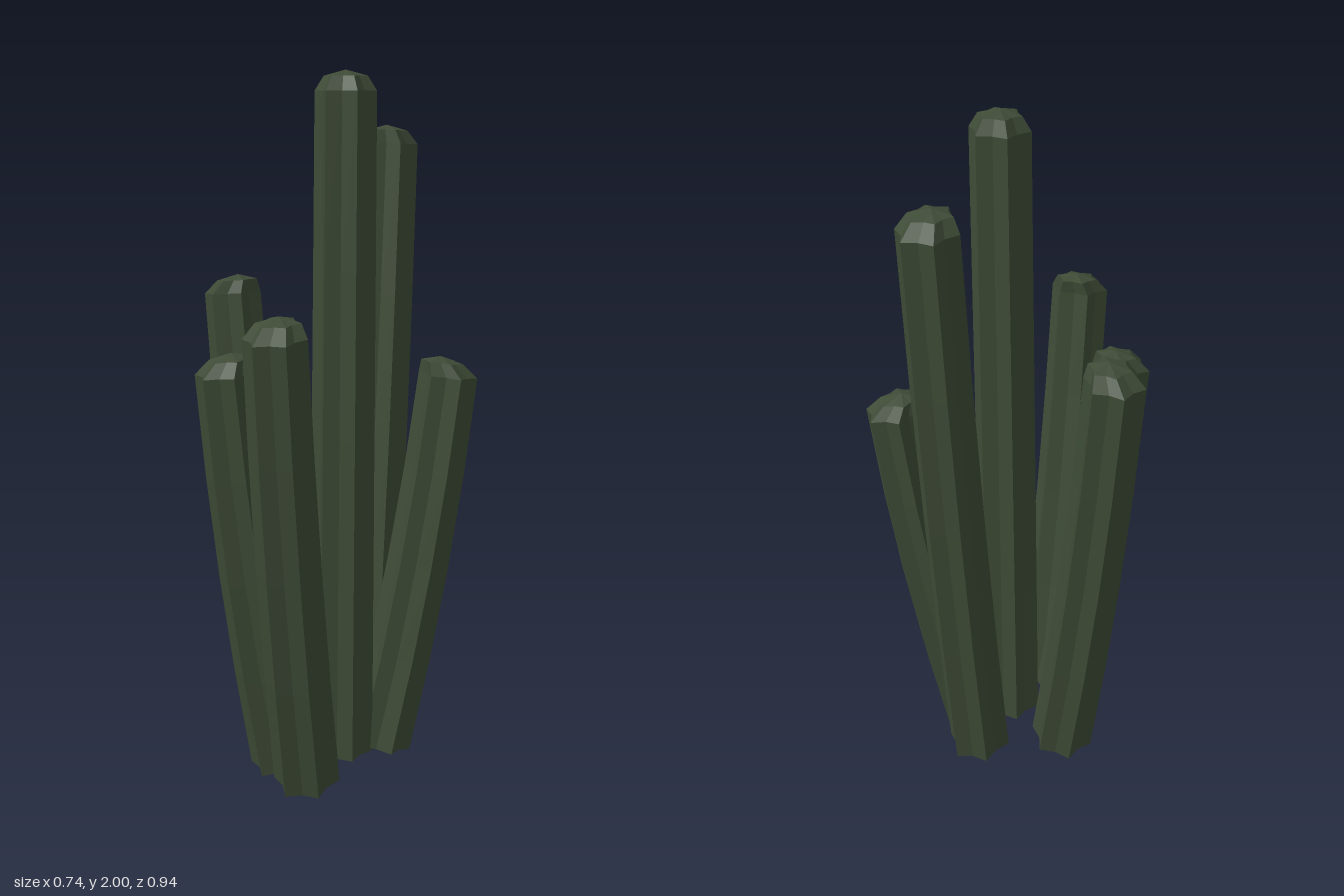
import * as THREE from 'three';

const SIDES = 12; // six ribs and six grooves
const UP = new THREE.Vector3(0, 1, 0);

// base x, base z, rim x, rim z, total height
const STEMS = [
  ['centreStem', 0.12, -0.035, 0.122, -0.035, 2.0],
  ['backStem', 0.055, -0.228, 0.012, -0.382, 1.85],
  ['backLeftStem', 0.178, -0.15, 0.298, -0.298, 1.205],
  ['rightStem', -0.115, -0.032, -0.298, -0.031, 1.42],
  ['frontRightStem', 0.035, 0.132, -0.033, 0.288, 1.255],
  ['frontLeftStem', 0.165, 0.178, 0.232, 0.385, 1.39],
];

// A ribbed column along a gently bending spine, closed by a low faceted dome
function stemGeometry(bx, bz, tx, tz, height) {
  const dx = tx - bx, dz = tz - bz;
  const y0 = 0.02, rimY = height - 0.055;
  const positions = [], index = [];
  const ring = (centre, dir, radius) => {
    const q = new THREE.Quaternion().setFromUnitVectors(UP, dir);
    for (let i = 0; i < SIDES; i++) {
      const a = (i / SIDES) * Math.PI * 2;
      const r = radius * (i % 2 ? 0.76 : 1);
      const p = new THREE.Vector3(Math.sin(a) * r, 0, Math.cos(a) * r);
      positions.push(...p.applyQuaternion(q).add(centre).toArray());
    }
  };

  // Shaft rings: the lean eases off towards the top
  const steps = 4;
  let dir;
  for (let s = 0; s <= steps; s++) {
    const t = s / steps, k = 1.35 * t - 0.35 * t * t, slope = 1.35 - 0.7 * t;
    dir = new THREE.Vector3(dx * slope, rimY - y0, dz * slope).normalize();
    ring(new THREE.Vector3(bx + dx * k, y0 + (rimY - y0) * t, bz + dz * k), dir, 0.096 - 0.011 * t);
  }
  // Dome shoulder, leaning back towards the middle of the clump
  ring(new THREE.Vector3(tx - dx * 0.1, height - 0.016, tz - dz * 0.1), dir, 0.06);

  const rings = steps + 2;
  for (let s = 0; s < rings - 1; s++) {
    for (let i = 0; i < SIDES; i++) {
      const j = (i + 1) % SIDES;
      const a = s * SIDES + i, b = s * SIDES + j;
      index.push(a, b, b + SIDES, a, b + SIDES, a + SIDES);
    }
  }
  // Tip and underside fans
  const tip = positions.length / 3, foot = tip + 1, last = (rings - 1) * SIDES;
  positions.push(tx - dx * 0.12, height, tz - dz * 0.12, bx, y0, bz);
  for (let i = 0; i < SIDES; i++) {
    const j = (i + 1) % SIDES;
    index.push(last + i, last + j, tip, j, i, foot);
  }

  const indexed = new THREE.BufferGeometry();
  indexed.setAttribute('position', new THREE.Float32BufferAttribute(positions, 3));
  indexed.setIndex(index);
  const geometry = indexed.toNonIndexed();
  geometry.computeVertexNormals();
  return geometry;
}

export function createModel() {
  const group = new THREE.Group();
  group.name = 'columnCactus';
  const green = new THREE.MeshStandardMaterial({ color: 0x3e4b36, flatShading: true });
  green.name = 'darkGreen';
  for (const [name, ...shape] of STEMS) {
    const mesh = new THREE.Mesh(stemGeometry(...shape), green);
    mesh.name = name;
    group.add(mesh);
  }
  return group;
}
